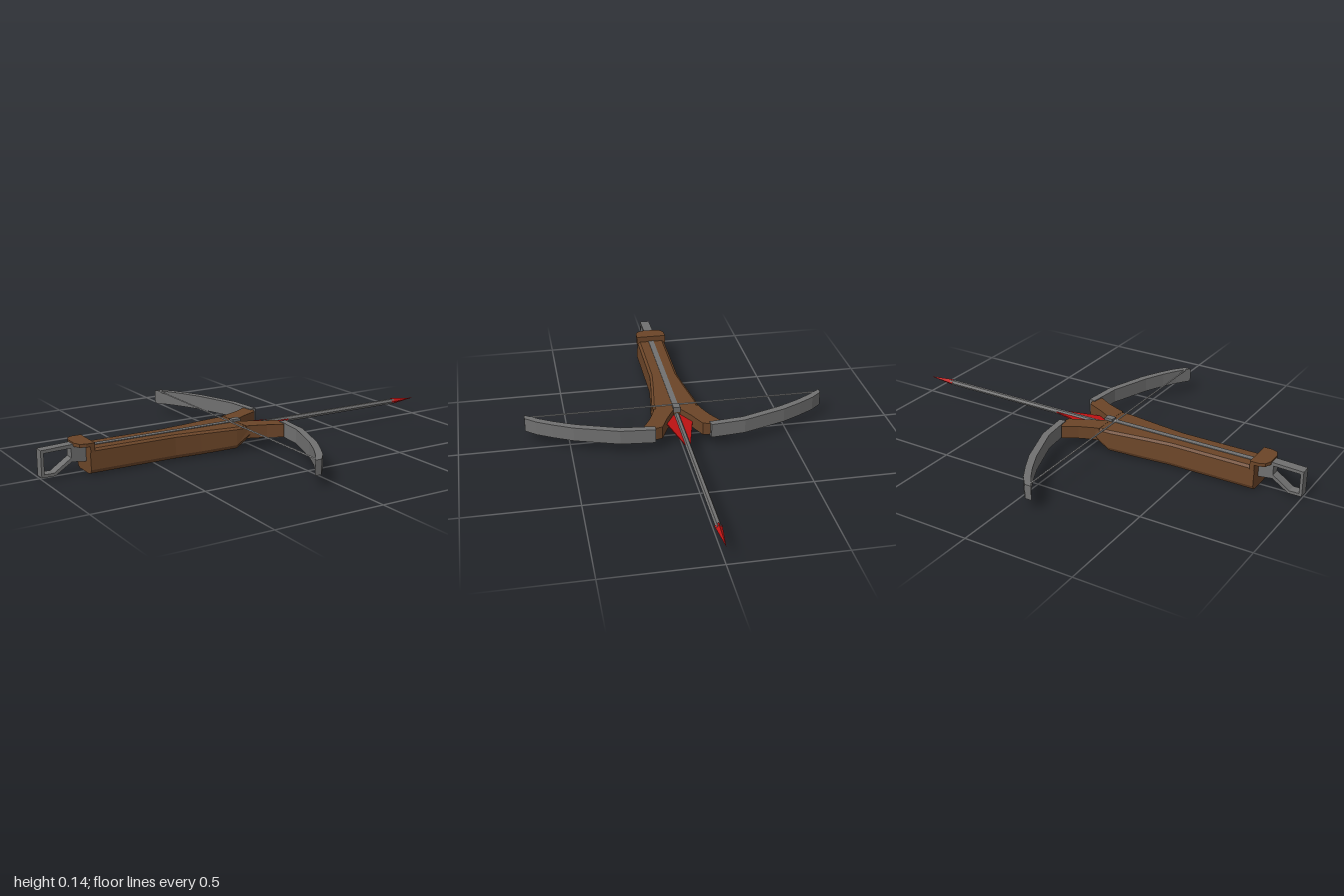
import * as THREE from 'three';

const material = (name, color) => {
  const m = new THREE.MeshStandardMaterial({ color });
  m.name = name;
  return m;
};

// Flat outline in x/z, extruded upward from y0 to y1
function slab(points, y0, y1) {
  const shape = new THREE.Shape(points.map(([x, z]) => new THREE.Vector2(x, -z)));
  const g = new THREE.ExtrudeGeometry(shape, { depth: y1 - y0, bevelEnabled: false });
  return g.rotateX(-Math.PI / 2).translate(0, y0, 0);
}

// Loft of equal-length [y, z] rings placed along x
function loft(sections) {
  const n = sections[0].ring.length, pos = [], idx = [];
  for (const { x, ring } of sections) for (const [y, z] of ring) pos.push(x, y, z);
  for (let i = 0; i < sections.length - 1; i++) {
    for (let j = 0; j < n; j++) {
      const a = i * n + j, b = i * n + (j + 1) % n;
      idx.push(a, b, a + n, b, b + n, a + n);
    }
  }
  const last = (sections.length - 1) * n;
  for (let j = 1; j < n - 1; j++) {
    idx.push(0, j + 1, j);
    idx.push(last, last + j, last + j + 1);
  }
  const g = new THREE.BufferGeometry();
  g.setAttribute('position', new THREE.Float32BufferAttribute(pos, 3));
  g.setIndex(idx);
  const flat = g.toNonIndexed();
  flat.computeVertexNormals();
  return flat;
}

export function createModel() {
  const wood = material('wood', 0x6b4528);
  const steel = material('steel', 0x707070);
  const red = material('red', 0xbc1212);
  const cord = material('cord', 0xb8b8b8);
  const model = new THREE.Group();
  model.name = 'crossbow';

  const add = (name, geometry, mat) => {
    const mesh = new THREE.Mesh(geometry, mat);
    mesh.name = name;
    model.add(mesh);
    return mesh;
  };
  const box = (name, mat, [x0, x1], [y0, y1], [z0, z1]) =>
    add(name, new THREE.BoxGeometry(x1 - x0, y1 - y0, z1 - z0)
      .translate((x0 + x1) / 2, (y0 + y1) / 2, (z0 + z1) / 2), mat);

  // Stock: rounded underside, bevelled top, widening toward the bow
  const stockRing = (w, b) => {
    const right = [[b, w - 0.025], [b + 0.006, w - 0.008], [b + 0.022, w], [0.104, w - 0.004], [0.113, w - 0.016]];
    return [...right.map(([y, z]) => [y, -z]), ...right.slice().reverse()];
  };
  add('stock', loft([
    [-0.8, 0.072, 0.002], [-0.4, 0.072, 0.002], [-0.28, 0.086, 0.004],
    [-0.11, 0.11, 0.012], [-0.04, 0.11, 0.055],
  ].map(([x, w, b]) => ({ x, ring: stockRing(w, b) }))), wood);

  // Rail along the top and the nut that holds the string
  box('rail', steel, [-0.79, -0.045], [0.105, 0.116], [-0.013, 0.013]);
  box('nut', steel, [-0.075, -0.035], [0.1, 0.125], [-0.016, 0.016]);

  // Butt cap with a rounded rear edge
  const cap = [[-0.78, -0.073], [-0.78, 0.073], [-0.82, 0.073], [-0.845, 0.062], [-0.857, 0.035],
    [-0.857, -0.035], [-0.845, -0.062], [-0.82, -0.073]];
  add('buttCap', slab(cap, 0.126, 0.141), wood);
  box('buttBlock', wood, [-0.8, -0.78], [0.1, 0.135], [-0.073, 0.073]);

  // Rear handle: a side outline with an opening
  const vec = (list) => list.map(([x, y]) => new THREE.Vector2(x, y));
  const handle = new THREE.Shape(vec([[-1, 0.01], [-0.94, 0.01], [-0.865, 0.058], [-0.795, 0.05],
    [-0.795, 0.128], [-0.85, 0.134], [-1, 0.128]]));
  handle.holes.push(new THREE.Path(vec([[-0.987, 0.023], [-0.987, 0.114], [-0.866, 0.118],
    [-0.866, 0.076], [-0.944, 0.023]])));
  add('handle', new THREE.ExtrudeGeometry(handle, { depth: 0.046, bevelEnabled: false })
    .translate(0, 0, -0.023), steel);

  // Fork arms and bow limbs, mirrored
  const arm = [[-0.06, 0], [-0.035, 0.018], [0.03, 0.055], [0.11, 0.092], [0.118, 0.125],
    [0.096, 0.175], [0.03, 0.137], [-0.04, 0.109], [-0.06, 0.105]];
  const limb = [[0.137, 0.127], [0.122, 0.285], [0.055, 0.485], [0.01, 0.575], [-0.03, 0.645], [-0.072, 0.695],
    [-0.104, 0.695], [-0.058, 0.63], [-0.02, 0.565], [0.025, 0.47], [0.09, 0.28], [0.106, 0.123]];
  for (const [side, s] of [['left', 1], ['right', -1]]) {
    const mirror = (pts) => pts.map(([x, z]) => [x, z * s]);
    add(side + 'ForkArm', slab(mirror(arm), 0.055, 0.114), wood);
    add(side + 'BowLimb', slab(mirror(limb), 0.052, 0.118), steel);
  }

  // Bowstring
  box('bowstring', cord, [-0.0875, -0.0825], [0.112, 0.117], [-0.69, 0.69]);

  // Bolt: shaft, pointed head and flat fletching
  const rod = (name, mat, x0, x1, r0, r1, sides) => add(name,
    new THREE.CylinderGeometry(r1, r0, x1 - x0, sides).toNonIndexed()
      .rotateZ(-Math.PI / 2).translate((x0 + x1) / 2, 0.082, 0), mat)
    .geometry.computeVertexNormals();
  rod('boltShaft', steel, -0.05, 0.87, 0.013, 0.013, 6);
  rod('boltHead', red, 0.855, 0.995, 0.016, 0, 4);
  add('fletching', slab([[-0.045, 0.012], [0.03, 0.06], [0.24, 0.01],
    [0.24, -0.01], [0.03, -0.06], [-0.045, -0.012]], 0.079, 0.085), red);

  return model;
}
